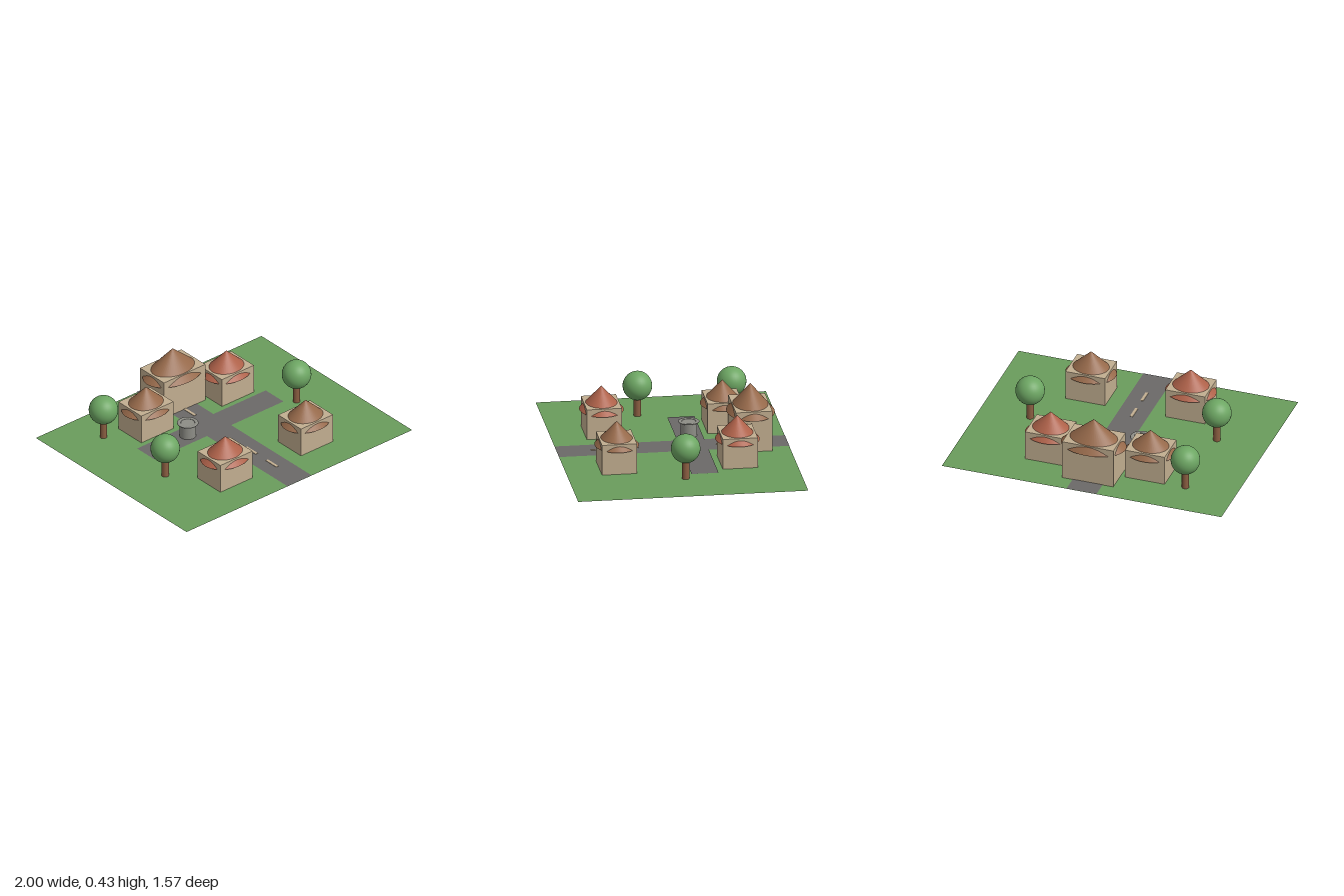
import * as THREE from 'three';

const mat = (name, color, side = THREE.FrontSide) => {
  const m = new THREE.MeshStandardMaterial({ color, side });
  m.name = name;
  return m;
};

export function createModel() {
  const grass = mat('grass green', 0x6a9c5c, THREE.DoubleSide);
  const asphalt = mat('asphalt grey', 0x6b6968);
  const plaster = mat('sand plaster', 0xc2ae90);
  const brownTile = mat('brown tile', 0x96694a);
  const redTile = mat('red tile', 0xae6149);
  const leaf = mat('leaf green', 0x6da663);
  const bark = mat('bark brown', 0x8c5f42);
  const stone = mat('stone grey', 0x8d8d86);

  const village = new THREE.Group();
  village.name = 'village';

  const add = (parent, name, geometry, material, x, y, z) => {
    const mesh = new THREE.Mesh(geometry, material);
    mesh.name = name;
    mesh.position.set(x, y, z);
    parent.add(mesh);
    return mesh;
  };
  const group = (name, x, z) => {
    const g = new THREE.Group();
    g.name = name;
    g.position.set(x, 0, z);
    village.add(g);
    return g;
  };
  const flat = (w, d) => new THREE.PlaneGeometry(w, d).rotateX(-Math.PI / 2);

  // Ground, crossing streets and lane marks
  add(village, 'ground', flat(2, 1.57), grass, 0, 0, 0);
  add(village, 'mainStreet', flat(0.214, 1.57), asphalt, 0, 0.003, 0);
  add(village, 'crossStreet', flat(1.14, 0.185), asphalt, 0, 0.0035, -0.143);
  for (const z of [0.5, 0.285, -0.355]) {
    add(village, 'laneMark', new THREE.BoxGeometry(0.02, 0.003, 0.11), plaster, 0, 0.0055, z);
  }

  // House: box walls pierced by a wide oval cone roof
  const house = (name, x, z, size, roofSize, tile) => {
    const [w, h, d] = size;
    const [rx, rz, eave, peak] = roofSize;
    const g = group(name, x, z);
    add(g, 'walls', new THREE.BoxGeometry(w, h - 0.001, d), plaster, 0, (h + 0.001) / 2, 0);
    const cone = new THREE.ConeGeometry(1, peak - eave, 48).scale(rx, 1, rz);
    add(g, 'roof', cone, tile, 0, (peak + eave) / 2, 0);
  };
  const small = [0.284, 0.214, 0.239];
  const smallRoof = [0.177, 0.15, 0.166, 0.333];
  house('hall', 0, -0.535, [0.366, 0.285, 0.25], [0.228, 0.163, 0.232, 0.428], brownTile);
  house('backRightHouse', -0.357, -0.394, small, smallRoof, brownTile);
  house('backLeftHouse', 0.357, -0.394, small, smallRoof, redTile);
  house('frontRightHouse', -0.357, 0.43, small, smallRoof, redTile);
  house('frontLeftHouse', 0.357, 0.43, small, smallRoof, brownTile);

  // Trees
  for (const [x, z] of [[-0.643, -0.5], [-0.643, 0.143], [0.643, 0]]) {
    const tree = group('tree', x, z);
    add(tree, 'trunk', new THREE.CylinderGeometry(0.025, 0.025, 0.142, 24), bark, 0, 0.072, 0);
    add(tree, 'crown', new THREE.SphereGeometry(0.1, 32, 20), leaf, 0, 0.216, 0);
  }

  // Well with a flattened rim
  const well = group('well', -0.2, -0.143);
  add(well, 'wellBody', new THREE.CylinderGeometry(0.057, 0.057, 0.102, 32), stone, 0, 0.052, 0);
  const rim = new THREE.TorusGeometry(0.06, 0.013, 12, 40).rotateX(Math.PI / 2).scale(1, 0.33, 1);
  add(well, 'wellRim', rim, stone, 0, 0.103, 0);

  return village;
}
